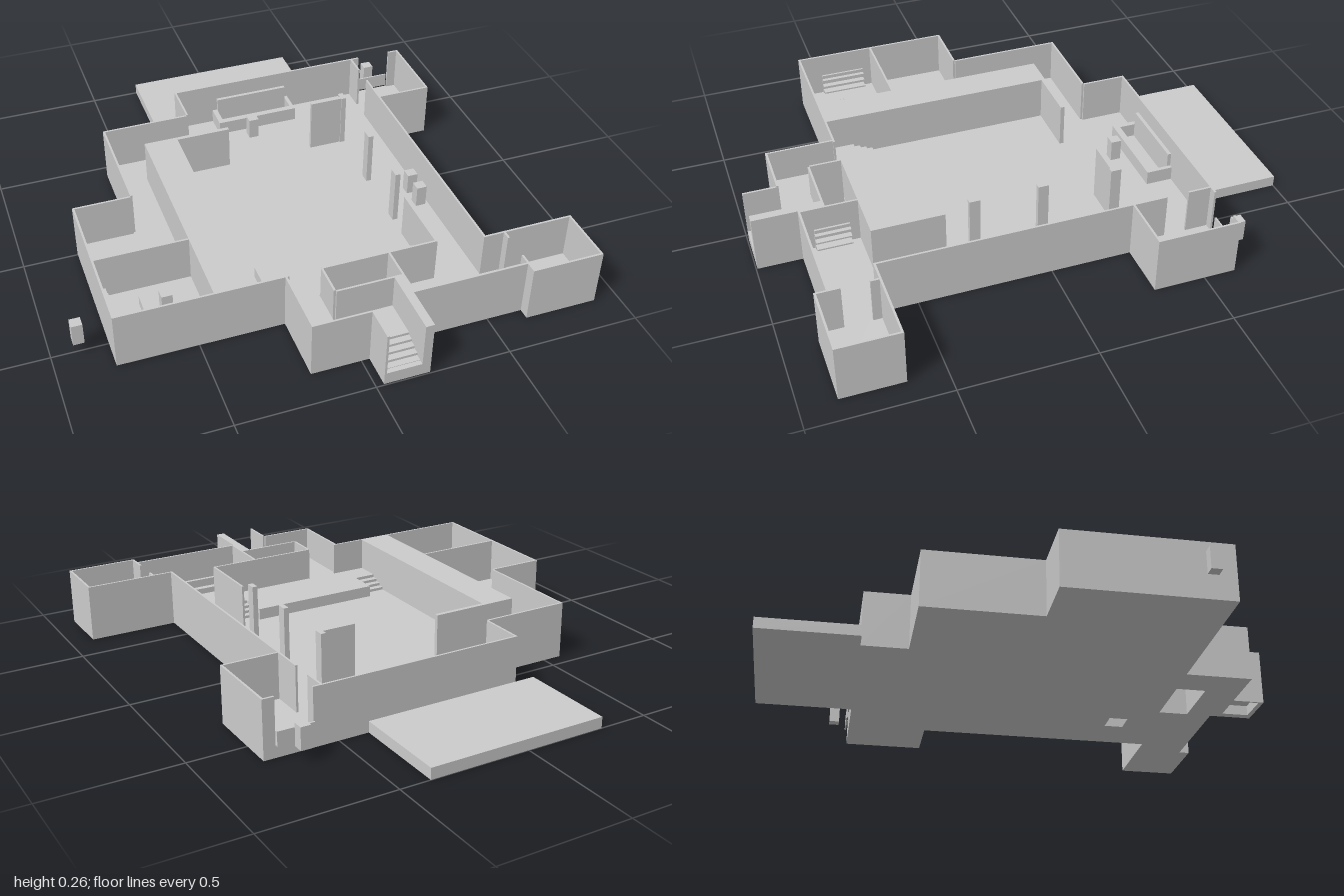
import * as THREE from 'three';

export function createModel() {
  const model = new THREE.Group();
  model.name = 'building';
  const grey = new THREE.MeshStandardMaterial({ color: 0xcccccc });
  grey.name = 'plain grey';
  const FLOOR = 0.045, TOP = 0.22, STAGE = 0.09, T = 0.008;

  // Box given by its extents on each axis
  function block(name, x0, x1, y0, y1, z0, z1, parent = model) {
    const mesh = new THREE.Mesh(new THREE.BoxGeometry(x1 - x0, y1 - y0, z1 - z0), grey);
    mesh.position.set((x0 + x1) / 2, (y0 + y1) / 2, (z0 + z1) / 2);
    mesh.name = name;
    parent.add(mesh);
    return mesh;
  }

  // Floor slab with a light well and openings below the stage stairs
  const toPoints = list => list.map(([x, z]) => new THREE.Vector2(x, -z));
  const rect = (x0, x1, z0, z1) => toPoints([[x0, z0], [x1, z0], [x1, z1], [x0, z1]]);
  const outline = new THREE.Shape(toPoints([
    [-0.23, -0.62], [0.78, -0.62], [0.78, -0.305], [0.565, -0.305], [0.565, 0.64], [0.91, 0.64],
    [0.91, 0.87], [0.64, 0.87], [0.64, 0.828], [0.2, 0.828], [0.2, 0.87], [-0.185, 0.87],
    [-0.185, 0.612], [-0.795, 0.612], [-0.795, -0.005], [-0.575, -0.005], [-0.575, -0.445], [-0.23, -0.445],
  ]));
  const holes = [[-0.045, 0.2, 0.614, 0.73], [-0.31, -0.222, 0.43, 0.505], [0.295, 0.383, 0.43, 0.505]];
  for (const h of holes) outline.holes.push(new THREE.Path(rect(...h)));
  const floorGeometry = new THREE.ExtrudeGeometry(outline, { depth: FLOOR, bevelEnabled: false });
  floorGeometry.rotateX(-Math.PI / 2);
  const floor = new THREE.Mesh(floorGeometry, grey);
  floor.name = 'floor';
  model.add(floor);
  block('backDeck', -0.31, 0.385, 0, 0.043, -1, -0.62);

  // Walls along x: [x0, x1, outer z, side the thickness grows to]
  const walls = new THREE.Group();
  walls.name = 'walls';
  model.add(walls);
  const alongX = [
    [-0.23, 0.595, -0.62, 1], [0.735, 0.78, -0.62, 1], [0.565, 0.78, -0.305, -1],
    [-0.575, -0.23, -0.445, 1], [-0.795, -0.575, -0.005, 1], [-0.795, -0.44, 0.3, 1],
    [-0.795, -0.17, 0.612, -1], [-0.05, 0.39, 0.612, -1],
    [0.565, 0.91, 0.64, 1], [0.64, 0.91, 0.87, -1], [0.2, 0.64, 0.828, -1],
    [-0.185, 0.03, 0.87, -1], [-0.045, 0.17, 0.73, 1],
  ];
  for (const [x0, x1, z, s] of alongX)
    block('wallAcross', x0, x1, 0, TOP, Math.min(z, z + s * T), Math.max(z, z + s * T), walls);
  // Walls along z: [z0, z1, outer x, side the thickness grows to]
  const alongZ = [
    [-0.62, -0.445, -0.23, 1], [-0.445, -0.005, -0.575, 1], [-0.005, 0.612, -0.795, 1],
    [-0.62, -0.525, 0.565, -1], [-0.44, 0.648, 0.565, -1], [-0.62, -0.305, 0.78, -1],
    [0.64, 0.87, 0.91, -1], [0.64, 0.68, 0.635, 1], [0.78, 0.87, 0.635, 1],
    [0.34, 0.612, 0.391, -1], [0.61, 0.828, 0.2, 1], [0.61, 0.87, -0.185, 1],
    [0.61, 0.73, -0.045, -1], [0.87, 0.995, 0.03, 1],
  ];
  for (const [z0, z1, x, s] of alongZ)
    block('wallAlong', Math.min(x, x + s * T), Math.max(x, x + s * T), 0, TOP, z0, z1, walls);
  block('entryThickWall', 0.168, 0.2, 0, TOP, 0.73, 0.995, walls);
  block('partition', -0.44, -0.097, FLOOR, TOP, -0.308, -0.292, walls);
  block('roofedCorridor', -0.44, -0.31, FLOOR, TOP, -0.308, 0.604);
  block('windowSill', 0.595, 0.735, FLOOR, 0.1, -0.632, -0.626);

  // Tall partition and columns of the hall
  block('tallPartition', 0.255, 0.385, FLOOR, 0.26, -0.306, -0.292);
  for (const z of [-0.308, -0.025, 0.235])
    block('column', 0.384, 0.404, FLOOR, 0.26, z - 0.02, z + 0.02);

  // Stage with a flight of steps at each side
  block('stage', -0.222, 0.295, FLOOR, STAGE, 0.388, 0.604);
  for (const [x0, x1] of [[-0.31, -0.222], [0.295, 0.383]]) {
    block('stageWing', x0, x1, FLOOR, STAGE, 0.505, 0.604);
    for (let i = 0; i < 3; i++)
      block('stageStep', x0, x1, FLOOR, FLOOR + 0.011 * (i + 1), 0.43 + i * 0.025, 0.455 + i * 0.025);
  }

  // Raised lobby and entry steps
  block('lobbyFloor', -0.177, -0.053, FLOOR, STAGE, 0.604, 0.862);
  block('lobbyPassage', -0.053, 0.168, FLOOR, STAGE, 0.738, 0.87);
  block('entryLanding', 0.038, 0.168, STAGE - 0.02, STAGE, 0.862, 0.88);
  for (let i = 0; i < 4; i++)
    block('entryStep', 0.038, 0.168, 0.04, STAGE - 0.01 * (i + 1), 0.88 + i * 0.024, 0.904 + i * 0.024);
  block('entrySill', 0.038, 0.168, 0, 0.048, 0.976, 0.995);

  // Bar counter and its back shelf
  block('counterFront', -0.07, 0.265, FLOOR, 0.1, -0.535, -0.51);
  block('counterEnd', -0.07, -0.05, FLOOR, 0.1, -0.612, -0.535);
  block('counterEnd', 0.25, 0.265, FLOOR, 0.1, -0.612, -0.535);
  block('backShelf', -0.05, 0.25, FLOOR, 0.155, -0.612, -0.598);

  // Sofas against the front walls
  for (const [x0, x1, z] of [[0.295, 0.47, 0.82], [-0.615, -0.44, 0.604]]) {
    block('sofaSeat', x0, x1, FLOOR, 0.068, z - 0.04, z - 0.015);
    block('sofaBack', x0, x1, FLOOR, 0.1, z - 0.015, z);
  }

  // Shelved racks against the side walls
  for (const [x, z0, z1] of [[-0.785, 0.345, 0.52], [0.21, 0.648, 0.78]]) {
    block('rackBack', x, x + 0.008, FLOOR, 0.13, z0, z1);
    for (let i = 0; i < 3; i++)
      block('rackShelf', x + 0.008, x + 0.038 - i * 0.007, 0.06 + i * 0.025, 0.066 + i * 0.025, z0, z1);
  }
  block('desk', -0.655, -0.617, FLOOR, 0.085, 0.39, 0.475);
  block('deskEnd', -0.655, -0.617, FLOOR, 0.075, 0.475, 0.517);

  // Standing marker posts inside and outside
  const posts = [[-0.9, 0.495], [0.665, -0.68], [0.058, -0.46], [0.523, 0.105], [0.523, 0.19],
    [-0.572, 0.455], [0.578, 0.802]];
  for (const [x, z] of posts)
    block('markerPost', x - 0.02, x + 0.02, 0.047, 0.132, z - 0.02, z + 0.02);

  return model;
}
